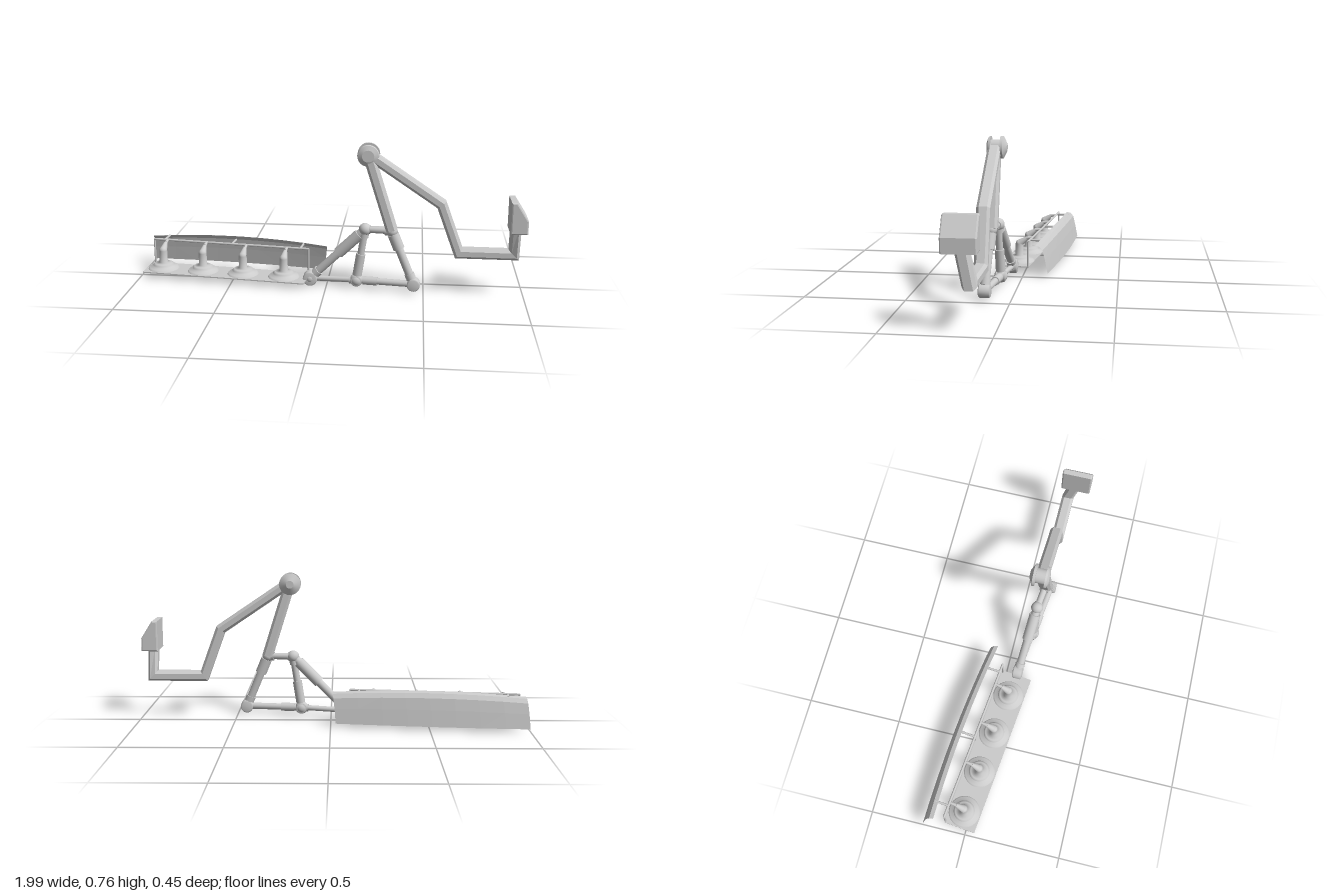
import * as THREE from 'three';

const V = (x, y, z) => new THREE.Vector3(x, y, z);

export function createModel() {
  const model = new THREE.Group();
  model.name = 'mowerArm';
  const steel = new THREE.MeshStandardMaterial({ color: 0xcccccc, side: THREE.DoubleSide });
  steel.name = 'light grey steel';

  const add = (parent, name, geo) => {
    const m = new THREE.Mesh(geo, steel);
    m.name = name;
    parent.add(m);
    return m;
  };
  // Cylinder running from a to b
  const rod = (parent, name, a, b, ra, rb = ra, sides = 20) => {
    const d = b.clone().sub(a);
    const m = add(parent, name, new THREE.CylinderGeometry(rb, ra, d.length(), sides));
    m.position.copy(a).add(b).multiplyScalar(0.5);
    m.quaternion.setFromUnitVectors(V(0, 1, 0), d.normalize());
    return m;
  };
  // Flat-faced surface through rings of points
  const loft = (rings, closed) => {
    const p = [];
    const n = rings[0].length;
    const tri = (...c) => c.forEach((v) => p.push(v.x, v.y, v.z));
    for (let i = 0; i < rings.length - 1; i++) {
      for (let j = 0; j < (closed ? n : n - 1); j++) {
        const k = (j + 1) % n;
        const [a, b, c, d] = [rings[i][j], rings[i][k], rings[i + 1][k], rings[i + 1][j]];
        tri(a, b, c);
        tri(a, c, d);
      }
    }
    if (closed) {
      const s = rings[0], e = rings[rings.length - 1];
      for (let j = 1; j < n - 1; j++) {
        tri(s[0], s[j + 1], s[j]);
        tri(e[0], e[j], e[j + 1]);
      }
    }
    const g = new THREE.BufferGeometry();
    g.setAttribute('position', new THREE.Float32BufferAttribute(p, 3));
    g.computeVertexNormals();
    return g;
  };
  // Chamfered box beam with mitred corners
  const beam = (name, path, h, w, ch) => {
    const sec = [[h, w - ch], [h - ch, w], [ch - h, w], [-h, w - ch], [-h, ch - w], [ch - h, -w], [h - ch, -w], [h, ch - w]];
    const flat = path.map((p) => new THREE.Vector2(p.x, p.y));
    const normal = (i) => {
      const d = flat[i + 1].clone().sub(flat[i]).normalize();
      return new THREE.Vector2(-d.y, d.x);
    };
    const rings = path.map((p, i) => {
      const a = normal(Math.max(i - 1, 0));
      const b = normal(Math.min(i, path.length - 2));
      const m = a.clone().add(b).normalize();
      m.divideScalar(m.dot(a));
      return sec.map(([s, t]) => V(p.x + m.x * s, p.y + m.y * s, p.z + t));
    });
    return add(model, name, loft(rings, true));
  };

  // Boom and dipper
  beam('boom', [V(0.225, 0.705, 0.108), V(0.58, 0.465, 0.106), V(0.672, 0.215, 0.104),
    V(0.945, 0.215, 0.106), V(0.945, 0.37, 0.14)], 0.026, 0.032, 0.013);
  beam('dipper', [V(0.212, 0.715, 0.111), V(0.335, 0.325, 0.111)], 0.028, 0.033, 0.013);

  // Elbow pin and caps
  rod(model, 'elbowPin', V(0.213, 0.706, 0.07), V(0.213, 0.706, 0.13), 0.038);
  rod(model, 'elbowFrontCap', V(0.213, 0.706, 0.127), V(0.213, 0.706, 0.137), 0.055, 0.052, 28);
  rod(model, 'elbowFrontBoss', V(0.213, 0.706, 0.137), V(0.213, 0.706, 0.146), 0.052, 0.03, 28);
  rod(model, 'elbowBackRim', V(0.213, 0.706, 0.066), V(0.213, 0.706, 0.079), 0.056, 0.056, 28);
  rod(model, 'elbowBackDome', V(0.213, 0.706, 0.048), V(0.213, 0.706, 0.066), 0.02, 0.056, 28);

  // Mounting head at the arm's end
  const head = new THREE.Shape([[0.918, 0.358], [0.989, 0.358], [0.989, 0.418], [0.935, 0.503], [0.918, 0.503]]
    .map(([x, y]) => new THREE.Vector2(x, y)));
  const headGeo = new THREE.ExtrudeGeometry(head, { depth: 0.146, bevelSize: 0.007, bevelThickness: 0.007, bevelSegments: 2 });
  headGeo.translate(0, 0, 0.072);
  add(model, 'mountingHead', headGeo);

  // Linkage joints, all in one slightly turned plane
  const at = (x, y) => V(x, y, 0.072 + 0.12 * x);
  const top = at(0.335, 0.32), knuckle = at(0.2, 0.32);
  const right = at(0.45, 0.045), mid = at(0.157, 0.045), left = at(-0.085, 0.037);
  // Link made of consecutive sections: [end fraction, radius]
  const link = (name, a, b, parts) => {
    let f = 0;
    parts.forEach(([e, r]) => {
      rod(model, name, a.clone().lerp(b, f), a.clone().lerp(b, e), r);
      f = e;
    });
  };
  link('rightStrut', top, right, [[0.06, 0.022], [0.33, 0.029], [0.8, 0.021], [0.9, 0.025], [1, 0.02]]);
  link('upperLink', knuckle, top, [[0.2, 0.022], [0.75, 0.017], [1, 0.024]]);
  link('slantedRam', knuckle, left, [[0.1, 0.022], [0.48, 0.029], [0.84, 0.021], [0.9, 0.026], [1, 0.02]]);
  link('middleStrut', knuckle, mid, [[0.15, 0.024], [0.48, 0.018], [0.9, 0.024], [1, 0.02]]);
  link('lowerRightLink', mid, right, [[0.12, 0.018], [0.37, 0.022], [0.92, 0.017], [1, 0.02]]);
  link('lowerLeftLink', left, mid, [[0.14, 0.02], [0.85, 0.014], [1, 0.02]]);
  [[knuckle, 0.032], [mid, 0.034], [left, 0.03], [top, 0.03]].forEach(([p, r]) => {
    add(model, 'ballJoint', new THREE.SphereGeometry(r, 20, 14)).position.copy(p);
  });
  // Rounded pivot barrels
  [[right, 0.033, 0.029], [left, 0.037, 0.026], [mid, 0.03, 0.026]].forEach(([p, r, h]) => {
    const pts = [[0, -h], [r - 0.006, -h], [r, 0.006 - h], [r, h - 0.006], [r - 0.006, h], [0, h]];
    const m = add(model, 'pivotBarrel', new THREE.LatheGeometry(pts.map(([x, y]) => new THREE.Vector2(x, y)), 24));
    m.rotation.x = Math.PI / 2;
    m.position.copy(p);
  });

  // Cutting deck
  const deck = new THREE.Group();
  deck.name = 'deck';
  deck.position.set(-0.5385, 0, 0.012);
  deck.rotation.y = -0.109;
  model.add(deck);
  add(deck, 'deckPlate', new THREE.BoxGeometry(0.878, 0.006, 0.166)).position.y = 0.03;

  // Rotors with bent, tapering stems
  const railZ = -0.077;
  const rotor = [[0.082, 0.033], [0.075, 0.042], [0.055, 0.046], [0.055, 0.056], [0.045, 0.063], [0.022, 0.066], [0.021, 0.13]]
    .map(([x, y]) => new THREE.Vector2(x, y));
  for (let i = 0; i < 4; i++) {
    const x = -0.353 + 0.222 * i, z = -0.003;
    add(deck, 'rotor', new THREE.LatheGeometry(rotor, 28).toNonIndexed()).position.set(x, 0, z);
    add(deck, 'stemElbow', new THREE.SphereGeometry(0.021, 16, 12)).position.set(x, 0.13, z);
    rod(deck, 'stemBend', V(x, 0.13, z), V(x, 0.16, z - 0.04), 0.021, 0.01);
    rod(deck, 'stemArm', V(x, 0.16, z - 0.037), V(x, 0.167, railZ), 0.01, 0.006, 12);
  }

  // Rail frame with end posts, and brackets to the shield
  rod(deck, 'rail', V(-0.432, 0.167, railZ), V(0.432, 0.167, railZ), 0.006, 0.006, 10);
  [-0.43, 0.43].forEach((x) => rod(deck, 'railPost', V(x, 0.025, railZ), V(x, 0.17, railZ), 0.005, 0.005, 10));
  [-0.37, 0.01, 0.385].forEach((x) => rod(deck, 'shieldBracket', V(x, 0.167, railZ), V(x, 0.168, -0.15), 0.006, 0.006, 10));

  // Curved rear shield, bowed along its length; profile is [depth, height, end flare]
  const profile = [[0, 0.168, 0], [-0.022, 0.162, 0.003], [-0.038, 0.142, 0.006], [-0.05, 0.09, 0.012], [-0.064, 0.016, 0.018]];
  const sections = [];
  for (let i = 0; i <= 8; i++) {
    const t = i / 8;
    const bow = 1 - (2 * t - 1) ** 2;
    sections.push(profile.map(([d, y, s]) => V(-0.98 + 0.972 * t - s, y + 0.021 * bow * (y / 0.168),
      -0.162 + 0.096 * t + d - 0.017 * bow)));
  }
  add(model, 'rearShield', loft(sections, false));

  return model;
}
